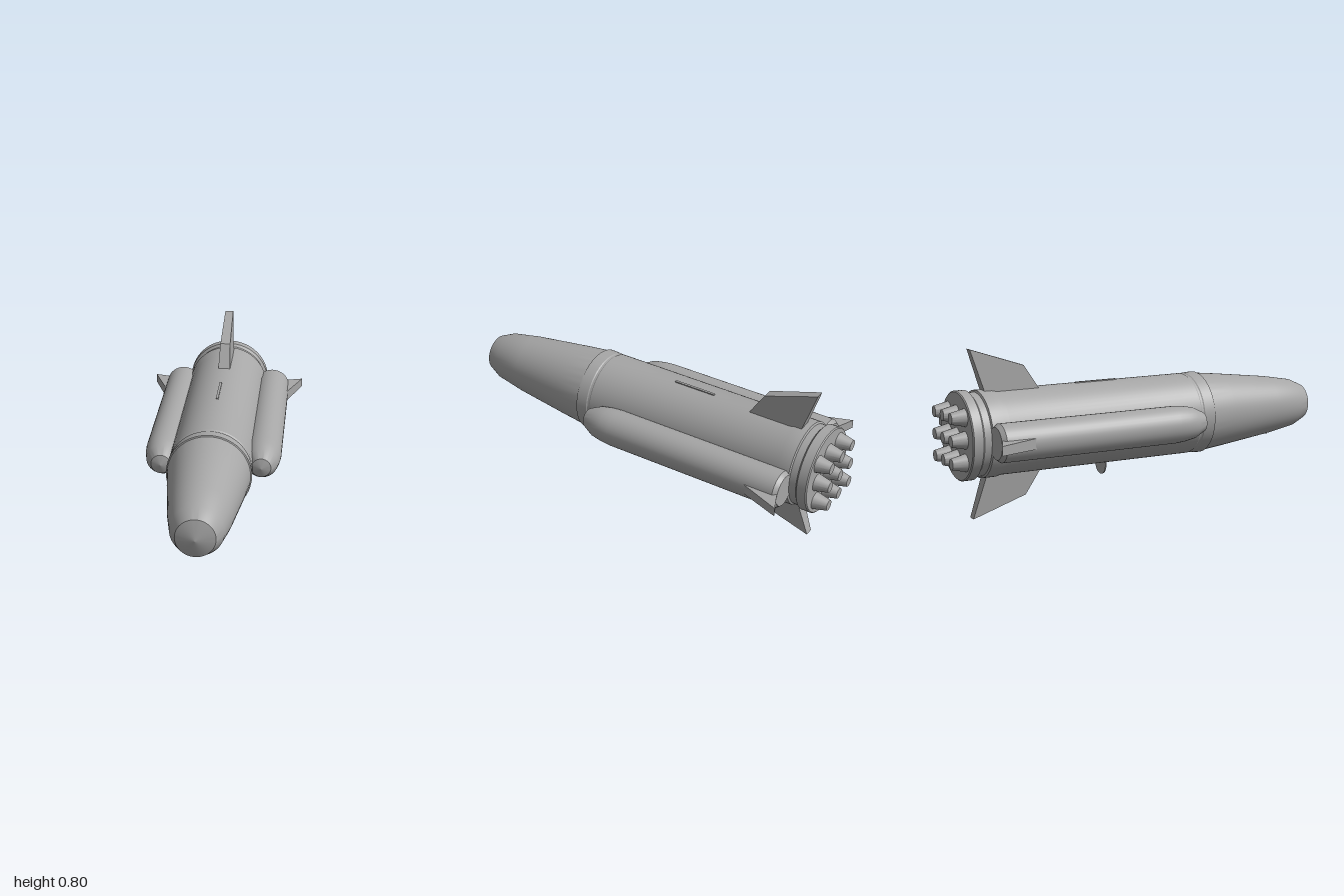
import * as THREE from 'three';
import { toCreasedNormals } from 'three/addons/utils/BufferGeometryUtils.js';

// Solid of revolution around z; profile is [z, radius] from back to front
function turned(profile, sides) {
  const geo = new THREE.LatheGeometry(profile.map(([z, r]) => new THREE.Vector2(r, z)), sides);
  geo.rotateX(Math.PI / 2);
  return toCreasedNormals(geo, 0.42);
}

// Fin plate pointing up; outline is [z, radius], half-thickness tapers from root to tip
function finGeometry(outline, rootHalf, tipHalf) {
  const shape = new THREE.Shape(outline.map(([z, r]) => new THREE.Vector2(z, r)));
  const geo = new THREE.ExtrudeGeometry(shape, { depth: 2, bevelEnabled: false });
  geo.translate(0, 0, -1);
  const radii = outline.map((p) => p[1]);
  const low = Math.min(...radii), high = Math.max(...radii);
  const pos = geo.attributes.position;
  for (let i = 0; i < pos.count; i++) {
    const t = (pos.getY(i) - low) / (high - low);
    pos.setZ(i, pos.getZ(i) * THREE.MathUtils.lerp(rootHalf, tipHalf, t));
  }
  geo.rotateY(-Math.PI / 2);
  geo.computeVertexNormals();
  return geo;
}

export function createModel() {
  const model = new THREE.Group();
  model.name = 'rocket';
  const grey = new THREE.MeshStandardMaterial({ color: 0xa6a6a6 });
  grey.name = 'hull grey';

  const rocket = new THREE.Group();
  rocket.name = 'rocketBody';
  rocket.position.y = 0.4;
  model.add(rocket);

  const add = (name, geo, x = 0, y = 0, z = 0, parent = rocket) => {
    const mesh = new THREE.Mesh(geo, grey);
    mesh.name = name;
    mesh.position.set(x, y, z);
    parent.add(mesh);
    return mesh;
  };

  // Main hull with tail ring, collar, front flange and nose
  add('hull', turned([
    [-0.93, 0], [-0.93, 0.205], [-0.925, 0.21], [-0.88, 0.21], [-0.87, 0.197],
    [-0.835, 0.197], [-0.83, 0.206], [-0.765, 0.206], [-0.74, 0.2],
    [0.265, 0.2], [0.27, 0.197], [0.28, 0.197], [0.285, 0.2],
    [0.33, 0.203], [0.34, 0.203], [0.343, 0.197], [0.47, 0.183],
    [0.76, 0.147], [0.905, 0.121], [0.972, 0.09], [1, 0],
  ], 64));

  // Nine engine bells in a square grid
  const bell = turned([[-1, 0], [-1, 0.026], [-0.925, 0.043]], 20);
  for (const x of [-0.105, 0, 0.105]) {
    for (const y of [-0.105, 0, 0.105]) add('engineBell', bell, x, y);
  }

  // Upper and lower tail fins
  const tailFin = finGeometry([[-0.51, 0.17], [-0.6, 0.31], [-0.865, 0.4], [-0.79, 0.17]], 0.032, 0.021);
  add('upperFin', tailFin);
  add('lowerFin', tailFin).rotation.z = Math.PI;

  // Side boosters, each with a small outer fin
  const boosterGeo = turned([
    [-0.835, 0], [-0.835, 0.075], [-0.815, 0.09], [0.08, 0.09],
    [0.13, 0.086], [0.185, 0.076], [0.243, 0.047], [0.258, 0],
  ], 36);
  const smallFin = finGeometry([[-0.64, 0.07], [-0.68, 0.09], [-0.87, 0.16], [-0.825, 0.05]], 0.027, 0.022);
  for (const side of [-1, 1]) {
    const booster = new THREE.Group();
    booster.name = side > 0 ? 'leftBooster' : 'rightBooster';
    booster.position.x = side * 0.24;
    rocket.add(booster);
    add('boosterTube', boosterGeo, 0, 0, 0, booster);
    add('boosterFin', smallFin, 0, 0, 0, booster).rotation.z = -side * Math.PI / 2;
  }

  // Thin rails along the top and bottom of the hull
  const rail = new THREE.BoxGeometry(0.012, 0.012, 0.215);
  for (const side of [-1, 1]) add('rail', rail, 0, side * 0.199, -0.215);

  // Rounded plate hanging under the hull
  const plateShape = new THREE.Shape();
  plateShape.moveTo(0.056, 0.03);
  plateShape.lineTo(-0.056, 0.03);
  plateShape.lineTo(-0.056, 0);
  plateShape.absarc(0, 0, 0.056, Math.PI, Math.PI * 2, false);
  plateShape.closePath();
  const plate = new THREE.ExtrudeGeometry(plateShape, { depth: 0.006, bevelEnabled: false, curveSegments: 20 });
  add('underPlate', plate, 0, -0.203, -0.192);

  // Small slit plate under the nose
  add('noseSlit', new THREE.BoxGeometry(0.05, 0.004, 0.012), 0, -0.148, 0.757);

  return model;
}
